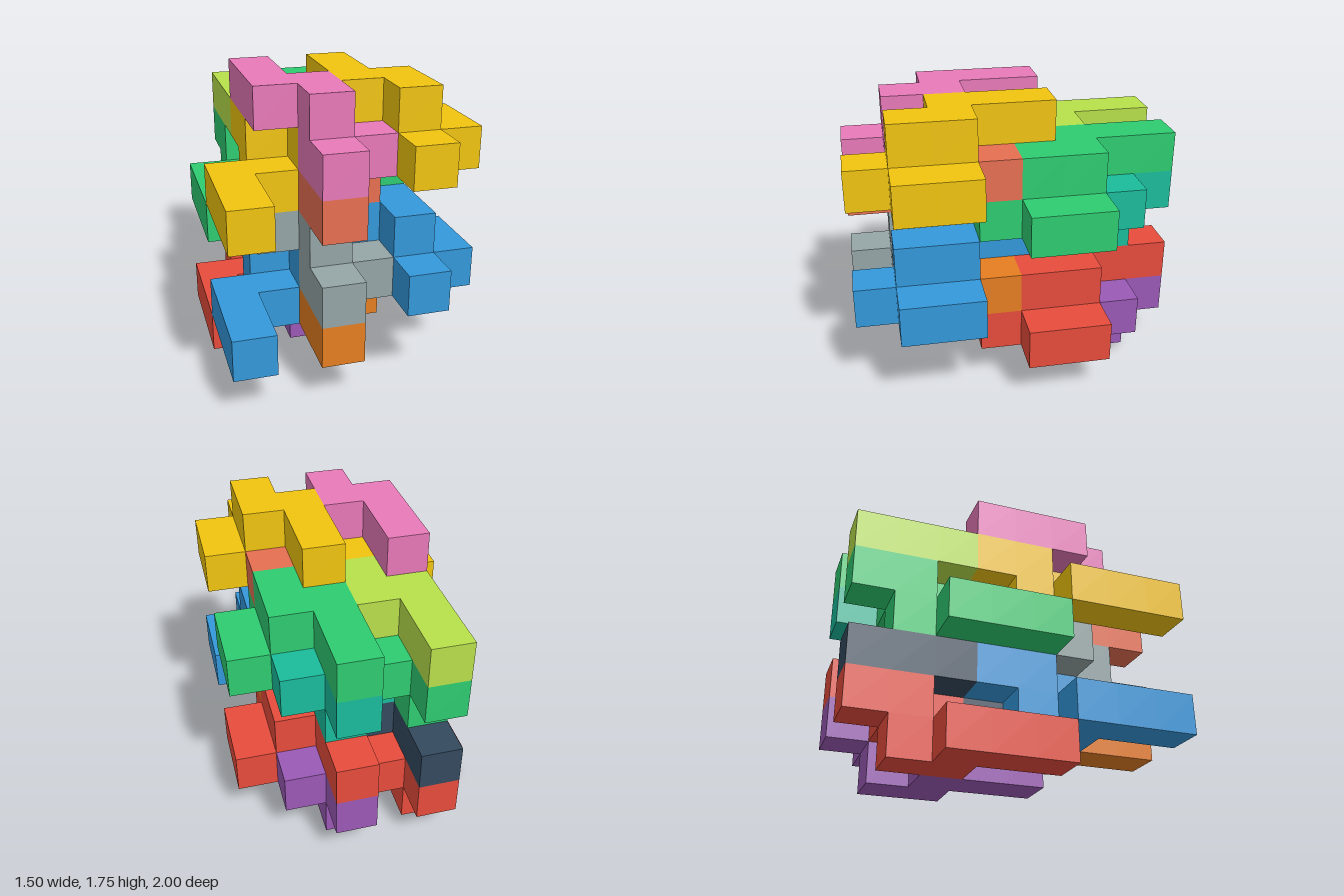
import * as THREE from 'three';
import { mergeGeometries } from 'three/addons/utils/BufferGeometryUtils.js';

const U = 0.25; // edge of one unit cube

// One nine-cube piece as [column, layer, row]: five cubes on top, four below
const upright = [
  [3, 3, 3], [3, 3, 4], [3, 3, 5], [4, 3, 5], [4, 3, 6],
  [4, 2, 7], [4, 2, 6], [5, 2, 6], [5, 2, 5],
];
// The same piece rolled half a turn about x and moved to the other side
const rolled = upright.map(([i, j, k]) => [i - 3, 4 - j, 10 - k]);

const move = (cells, di, dj, dk) => cells.map(([i, j, k]) => [i + di, j + dj, k + dk]);

// Outward faces of a unit cube: direction and the turn that aims a plane there
const faces = [
  [[0, 0, 1], [0, 0, 0]], [[0, 0, -1], [0, Math.PI, 0]],
  [[1, 0, 0], [0, Math.PI / 2, 0]], [[-1, 0, 0], [0, -Math.PI / 2, 0]],
  [[0, 1, 0], [-Math.PI / 2, 0, 0]], [[0, -1, 0], [Math.PI / 2, 0, 0]],
];

// Outer skin of a set of joined cubes
function skin(cells) {
  const filled = new Set(cells.map(String));
  const parts = [];
  for (const [i, j, k] of cells) {
    for (const [d, r] of faces) {
      if (filled.has(String([i + d[0], j + d[1], k + d[2]]))) continue;
      parts.push(new THREE.PlaneGeometry(U, U)
        .rotateX(r[0]).rotateY(r[1])
        .translate(
          (i - 2.5 + d[0] / 2) * U,
          (j + 0.5 + d[1] / 2) * U,
          (k - 3.5 + d[2] / 2) * U));
    }
  }
  return mergeGeometries(parts);
}

export function createModel() {
  const model = new THREE.Group();
  model.name = 'interlockingBlocks';

  // Colours per tier: [upright left, upright right, rolled left, rolled right]
  const tiers = [
    { name: 'lower', dj: 0,
      front: [0x95a5a6, 0x3498db, 0x3498db, 0xe67e22],
      back: [0x34495e, 0xe74c3c, 0xe74c3c, 0x9b59b6] },
    { name: 'upper', dj: 3,
      front: [0xe879b9, 0xf1c40f, 0xf1c40f, 0xe76f51],
      back: [0xb8e04a, 0x2ecc71, 0x2ecc71, 0x1abc9c] },
  ];
  const pieces = [
    ['UprightOuter', move(upright, -2, 0, 0)],
    ['UprightInner', upright],
    ['RolledOuter', rolled],
    ['RolledInner', move(rolled, 2, 0, 0)],
  ];

  for (const tier of tiers) {
    // The back set repeats the front set, three rows back and one layer down
    for (const [row, dj, dk] of [['front', 0, 0], ['back', -1, -3]]) {
      pieces.forEach(([label, cells], n) => {
        const mesh = new THREE.Mesh(
          skin(move(cells, 0, tier.dj + dj, dk)),
          new THREE.MeshStandardMaterial({ color: tier[row][n] }));
        mesh.name = tier.name + row[0].toUpperCase() + row.slice(1) + label;
        model.add(mesh);
      });
    }
  }
  return model;
}
